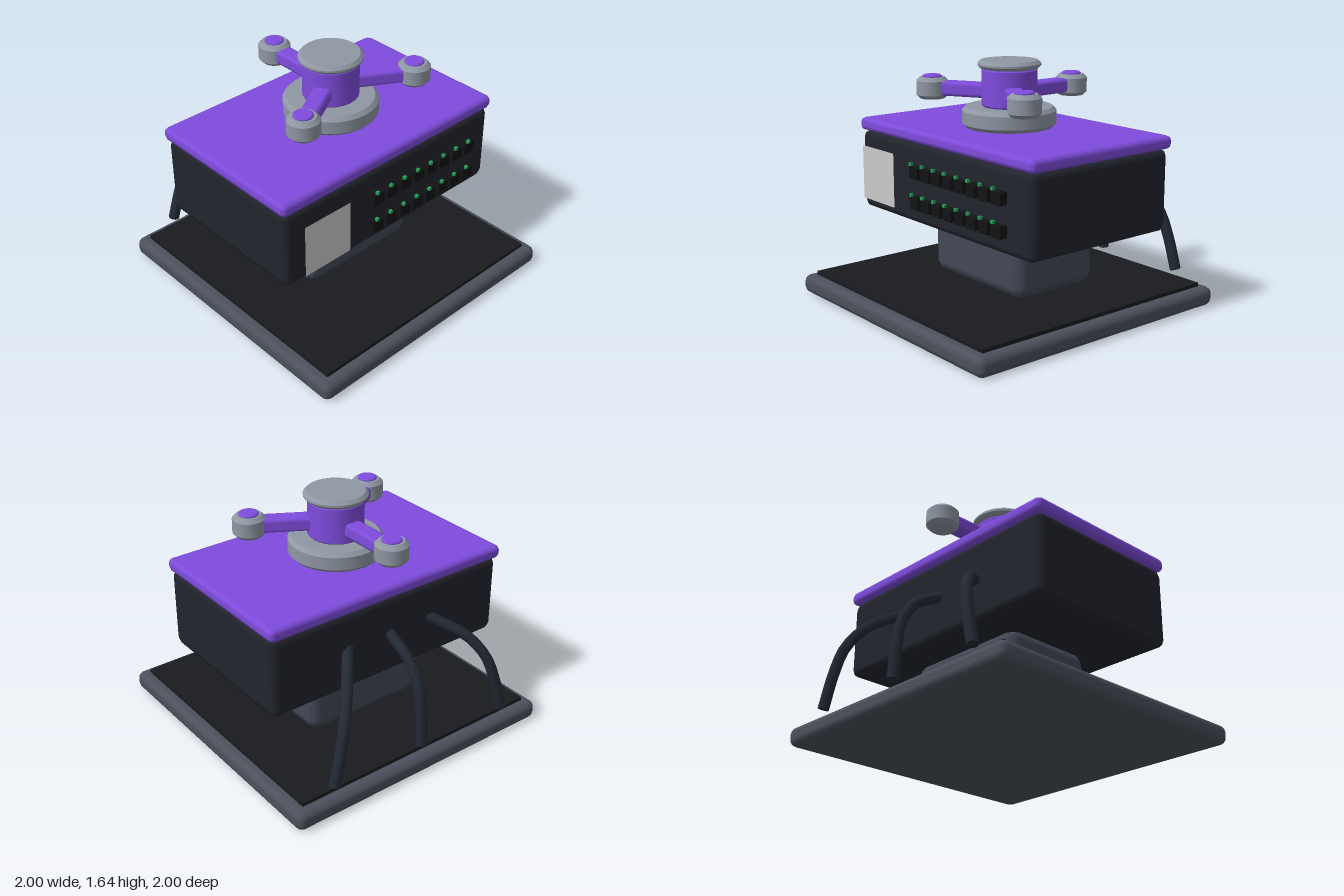
import * as THREE from 'three';
import { RoundedBoxGeometry } from 'three/addons/geometries/RoundedBoxGeometry.js';
import { toCreasedNormals } from 'three/addons/utils/BufferGeometryUtils.js';

const mat = (color) => new THREE.MeshStandardMaterial({ color });
const slate = mat(0x4b505b), deckBlack = mat(0x1a1b1f), bodyDark = mat(0x22252d), pedestalGrey = mat(0x434856);
const purple = mat(0x7f4cdd), metal = mat(0x8f97a3), cableDark = mat(0x232a35), portBlack = mat(0x121315), green = mat(0x22a558);
const panelGrey = mat(0xcccccc);
cableDark.side = panelGrey.side = THREE.DoubleSide;

const CZ = -0.04; // depth of the rotor axis

function add(parent, name, geometry, material, x = 0, y = 0, z = 0) {
  const mesh = new THREE.Mesh(geometry, material);
  mesh.name = name;
  mesh.position.set(x, y, z);
  parent.add(mesh);
  return mesh;
}

// box given by its extents, with chamfered or rounded edges
function block(parent, name, material, [x0, x1], [y0, y1], [z0, z1], radius, segments = 1) {
  const geometry = new RoundedBoxGeometry(x1 - x0, y1 - y0, z1 - z0, segments, radius);
  return add(parent, name, geometry, material, (x0 + x1) / 2, (y0 + y1) / 2, (z0 + z1) / 2);
}

// solid disc with bevelled rims
function disc(parent, name, material, r, y0, y1, bevel, sides, x = 0, z = 0) {
  const profile = [[0, y0], [r - bevel, y0], [r, y0 + bevel], [r, y1 - bevel], [r - bevel, y1], [0, y1]]
    .map(([a, b]) => new THREE.Vector2(a, b));
  return add(parent, name, toCreasedNormals(new THREE.LatheGeometry(profile, sides), 0.6), material, x, 0, z);
}

export function createModel() {
  const model = new THREE.Group();
  model.name = 'serverDevice';

  // base plate, deck and pedestal
  block(model, 'basePlate', slate, [-1, 1], [0, 0.13], [-1, 1], 0.05, 2);
  add(model, 'deck', new THREE.BoxGeometry(1.85, 0.05, 1.85), deckBlack, 0, 0.13, 0);
  block(model, 'pedestal', pedestalGrey, [-0.46, 0.46], [0.15, 0.57], [-0.4, 0.26], 0.075);

  // housing and lid
  block(model, 'housing', bodyDark, [-0.905, 0.905], [0.565, 1.115], [-0.61, 0.54], 0.05);
  block(model, 'lid', purple, [-0.92, 0.92], [1.11, 1.2], [-0.63, 0.55], 0.035);

  // front panel
  add(model, 'displayPanel', new THREE.PlaneGeometry(0.37, 0.37), panelGrey, -0.615, 0.84, 0.6);

  // two rows of ports, each with an indicator light
  const portGeometry = new THREE.BoxGeometry(0.09, 0.08, 0.055);
  const lightGeometry = new THREE.BoxGeometry(0.02, 0.02, 0.02);
  for (const y of [0.935, 0.73]) {
    for (let i = 0; i < 8; i++) {
      const x = -0.19 + i * 0.12;
      add(model, 'port', portGeometry, portBlack, x, y, 0.582);
      add(model, 'indicatorLight', lightGeometry, green, x - 0.02, y + 0.058, 0.612);
    }
  }

  // central rotor
  const rotor = new THREE.Group();
  rotor.name = 'rotor';
  rotor.position.z = CZ;
  model.add(rotor);
  disc(rotor, 'rotorBase', metal, 0.313, 1.2, 1.335, 0.025, 32);
  disc(rotor, 'rotorHub', purple, 0.185, 1.33, 1.59, 0.015, 24);
  disc(rotor, 'rotorCap', metal, 0.21, 1.585, 1.638, 0.02, 28);

  // three arms carrying pods
  for (let i = 0; i < 3; i++) {
    const arm = new THREE.Group();
    arm.name = 'rotorArm';
    arm.rotation.y = (i * Math.PI * 2) / 3;
    rotor.add(arm);
    block(arm, 'armBar', purple, [-0.06, 0.06], [1.38, 1.478], [-0.52, -0.12], 0.025);
    disc(arm, 'armPod', metal, 0.108, 1.355, 1.5, 0.025, 20, 0, -0.555);
    disc(arm, 'podButton', purple, 0.065, 1.48, 1.515, 0.008, 16, 0, -0.555);
  }

  // three rear cables drooping towards the base
  const droop = [[0.3, 0.87, -0.56], [0.36, 0.835, -0.63], [0.49, 0.745, -0.79], [0.58, 0.6, -0.89], [0.64, 0.415, -0.928], [0.7, 0.19, -0.945]];
  for (const side of [-1, 0, 1]) {
    const path = new THREE.CatmullRomCurve3(droop.map(([x, y, z]) => new THREE.Vector3(x * side, y, z)));
    add(model, 'rearCable', new THREE.TubeGeometry(path, 14, 0.037, 8, false), cableDark);
    // closing disc on the loose end
    const end = add(model, 'cableEnd', new THREE.CircleGeometry(0.037, 8), cableDark, ...path.getPoint(1).toArray());
    end.lookAt(path.getPoint(1).add(path.getTangent(1)));
  }

  return model;
}
